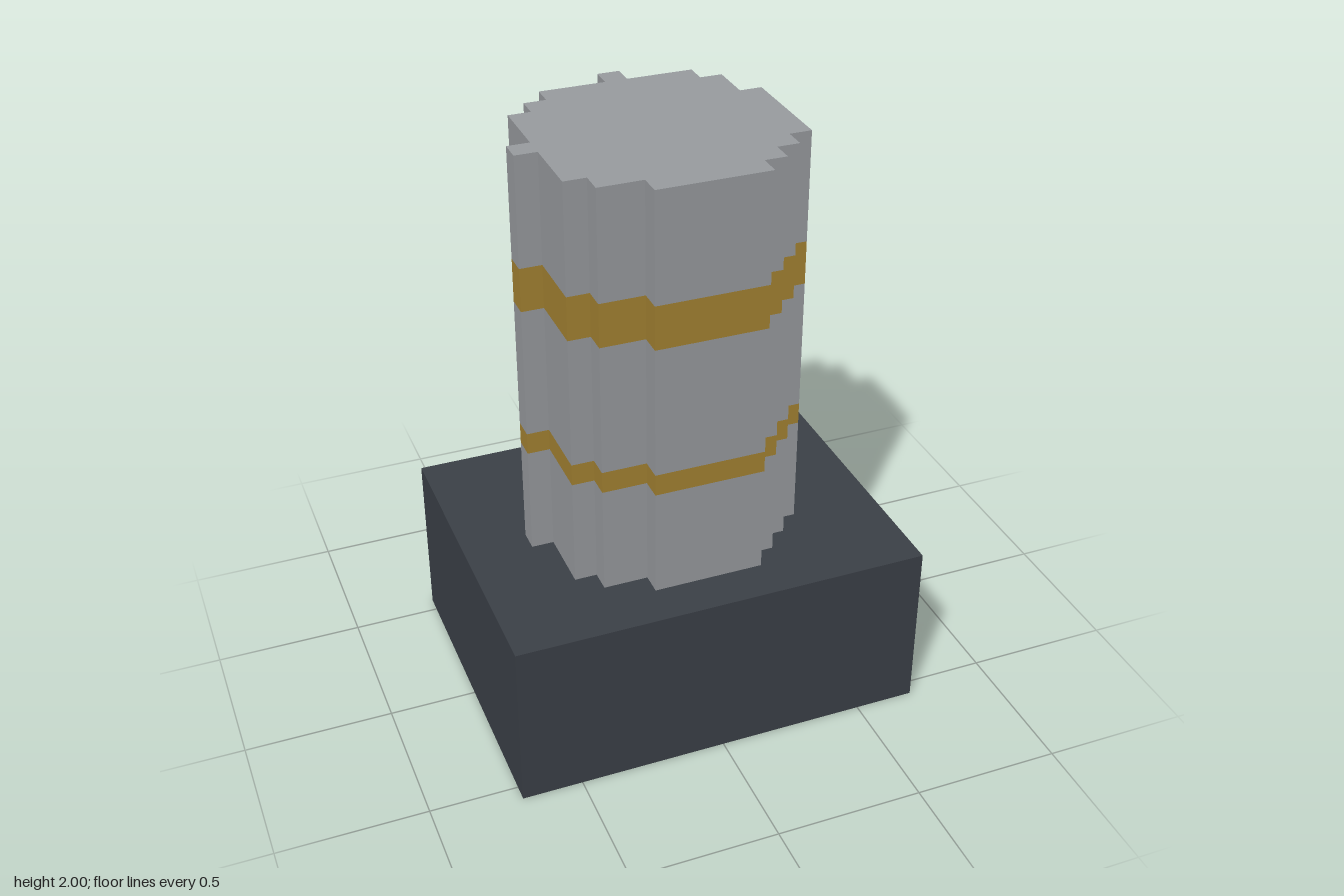
import * as THREE from 'three';

// Half of one block: every edge lies on a multiple of this
const U = 1 / 27;

// Stepped outline of the column as [x, z], in half blocks
const OUTLINE = [
  [-1, -13], [1, -13], [1, -11], [7, -11], [7, -9], [9, -9], [9, -5], [11, -5],
  [11, 5], [9, 5], [9, 7], [7, 7], [7, 9], [5, 9], [5, 11],
  [-5, 11], [-5, 9], [-9, 9], [-9, 7], [-11, 7], [-11, 1], [-13, 1],
  [-13, -1], [-11, -1], [-11, -7], [-9, -7], [-9, -9], [-7, -9], [-7, -11], [-1, -11],
];

function material(name, color) {
  const m = new THREE.MeshStandardMaterial({ color });
  m.name = name;
  return m;
}

export function createModel() {
  const model = new THREE.Group();
  model.name = 'columnOnPlinth';
  const stone = material('paleStone', 0x9a9da1);
  const gold = material('gold', 0xa68432);
  const slate = material('darkSlate', 0x3c4148);

  // Plinth
  const plinth = new THREE.Mesh(new THREE.BoxGeometry(38 * U, 16 * U, 30 * U), slate);
  plinth.name = 'plinth';
  plinth.position.y = 8 * U;
  model.add(plinth);

  // Column: stone drums with two flush gold bands between them
  const shape = new THREE.Shape(OUTLINE.map(([x, z]) => new THREE.Vector2(x * U, -z * U)));
  const column = new THREE.Group();
  column.name = 'column';
  const sections = [
    ['lowerShaft', 16, 26, stone],
    ['lowerBand', 26, 28, gold],
    ['middleShaft', 28, 40, stone],
    ['upperBand', 40, 44, gold],
    ['upperShaft', 44, 54, stone],
  ];
  for (const [name, from, to, mat] of sections) {
    const geometry = new THREE.ExtrudeGeometry(shape, { depth: (to - from) * U, bevelEnabled: false });
    geometry.rotateX(-Math.PI / 2);
    const mesh = new THREE.Mesh(geometry, mat);
    mesh.name = name;
    mesh.position.y = from * U;
    column.add(mesh);
  }
  model.add(column);
  return model;
}
